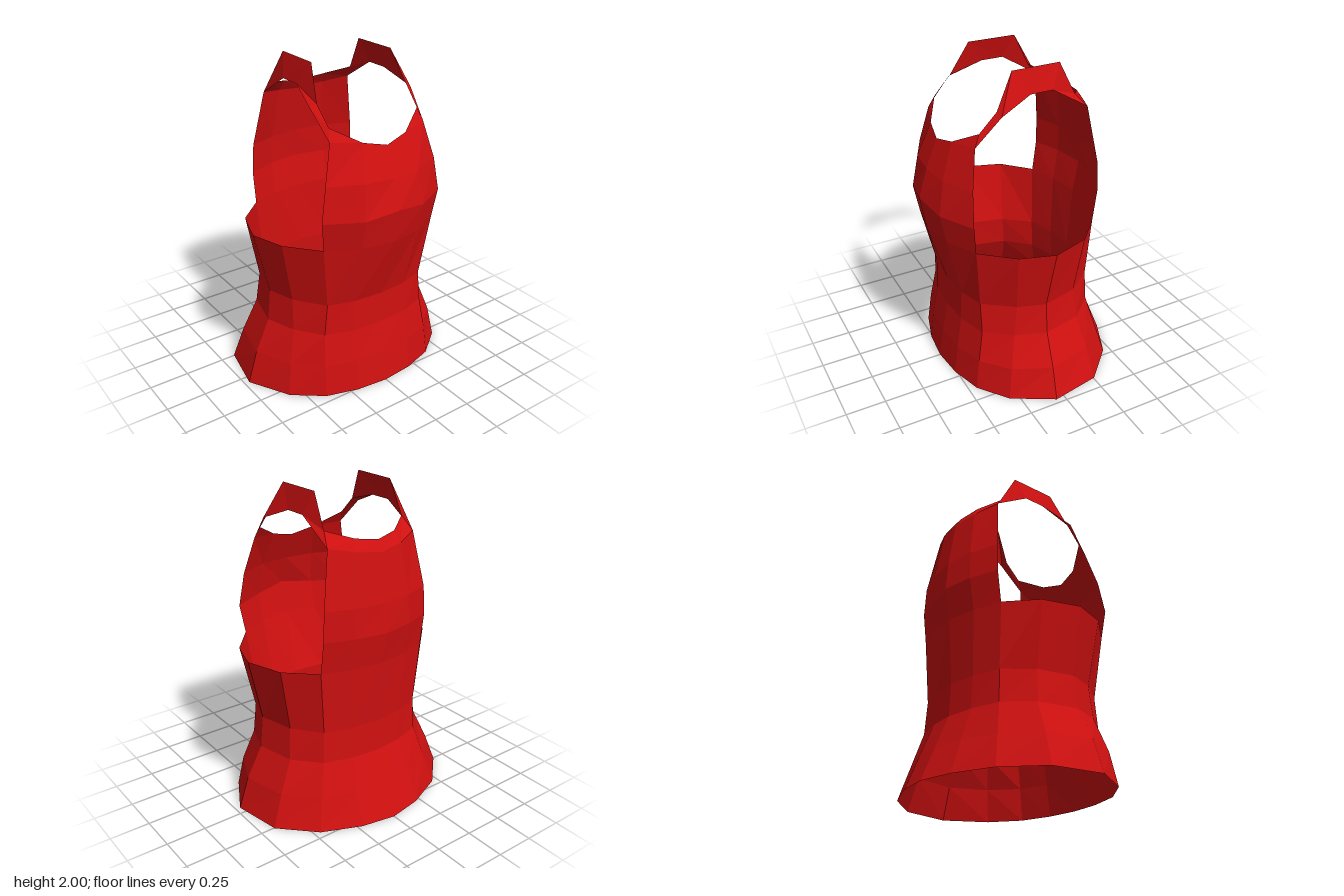
import * as THREE from 'three';

// Lofts a sheet through rows of [x, y, z] points (bottom row first).
function loft(rows) {
  const columns = rows[0].length;
  const index = [];
  for (let i = 0; i < rows.length - 1; i++) {
    for (let j = 0; j < columns - 1; j++) {
      const a = i * columns + j, b = a + 1, c = b + columns, d = a + columns;
      index.push(a, b, c, a, c, d);
    }
  }
  const geometry = new THREE.BufferGeometry();
  geometry.setAttribute('position', new THREE.Float32BufferAttribute(rows.flat(2), 3));
  geometry.setIndex(index);
  const flat = geometry.toNonIndexed();
  flat.computeVertexNormals();
  return flat;
}

const flipX = ([x, y, z]) => [-x, y, z];
// Mirrors a half row that runs from the centre line outwards.
const mirrorRow = (half) => [...half.slice(1).reverse().map(flipX), ...half];

export function createModel() {
  const fabric = new THREE.MeshStandardMaterial({ color: 0xd01010, flatShading: true, side: THREE.DoubleSide });
  fabric.name = 'red fabric';
  const group = new THREE.Group();
  group.name = 'sleevelessTop';
  const add = (name, rows) => {
    const mesh = new THREE.Mesh(loft(rows), fabric);
    mesh.name = name;
    group.add(mesh);
  };

  // Body tube: half rings of [x, z] from front centre round to back centre
  const rings = [
    [0, [[0, .53], [.2, .51], [.4, .45], [.58, .31], [.72, .055], [.66, -.255], [.46, -.455], [.22, -.56], [0, -.6]]],
    [.2, [[0, .5], [.2, .485], [.39, .425], [.55, .28], [.655, .05], [.59, -.23], [.41, -.405], [.2, -.485], [0, -.515]]],
    [.4, [[0, .46], [.19, .45], [.37, .39], [.49, .23], [.555, .04], [.5, -.2], [.36, -.355], [.18, -.41], [0, -.43]]],
    [.6, [[0, .455], [.19, .44], [.35, .39], [.48, .21], [.535, .04], [.48, -.18], [.35, -.345], [.18, -.4], [0, -.42]]],
    [1, [[0, .57], [.21, .53], [.4, .43], [.56, .24], [.625, .03], [.55, -.2], [.38, -.36], [.2, -.42], [0, -.45]]],
  ].map(([y, half]) => half.map(([x, z]) => [x, y, z]));
  add('body', rings.map((half) => [...half, ...half.slice(0, -1).reverse().map(flipX)]));

  // Strap edges from front to back: armhole side and neck side
  const armEdge = [[.33, 1.62, .39], [.355, 1.78, .24], [.31, 1.86, .04], [.31, 1.86, -.1], [.31, 1.72, -.33]];
  const neckEdge = [[.31, 1.69, .355], [.315, 1.8, .25], [.275, 2, .14], [.27, 2, -.16], [.28, 1.8, -.26]];

  // Chest panel, ending in the scooped neckline
  const top = rings[4];
  const neckMid = [.15, 1.6, .45], neckCentre = [0, 1.565, .478];
  add('frontPanel', [
    top.slice(0, 3),
    [[0, 1.21, .605], [.21, 1.18, .565], [.425, 1.18, .45]],
    [[0, 1.39, .55], [.19, 1.39, .53], [.39, 1.39, .435]],
    [neckCentre, neckMid, armEdge[0]],
  ].map(mirrorRow));
  // Corners joining the neckline to the straps
  add('leftNeckCorner', [[neckMid, armEdge[0]], [neckMid, neckEdge[0]]]);
  add('rightNeckCorner', [[armEdge[0], neckMid].map(flipX), [neckEdge[0], neckMid].map(flipX)]);

  // Back panel, rising to a higher neckline
  add('backPanel', [
    top.slice(-3).reverse(),
    [[0, 1.2, -.485], [.2, 1.2, -.45], [.38, 1.2, -.385]],
    [[0, 1.38, -.47], [.19, 1.38, -.445], [.37, 1.38, -.38]],
    [[0, 1.67, -.425], [.16, 1.69, -.4], armEdge[4]],
    [[0, 1.735, -.39], [.14, 1.755, -.36], neckEdge[4]],
  ].map((half) => mirrorRow(half).reverse()));

  // Shoulder straps
  add('leftStrap', [armEdge, neckEdge]);
  add('rightStrap', [armEdge, neckEdge].map((edge) => edge.map(flipX).reverse()));

  return group;
}
